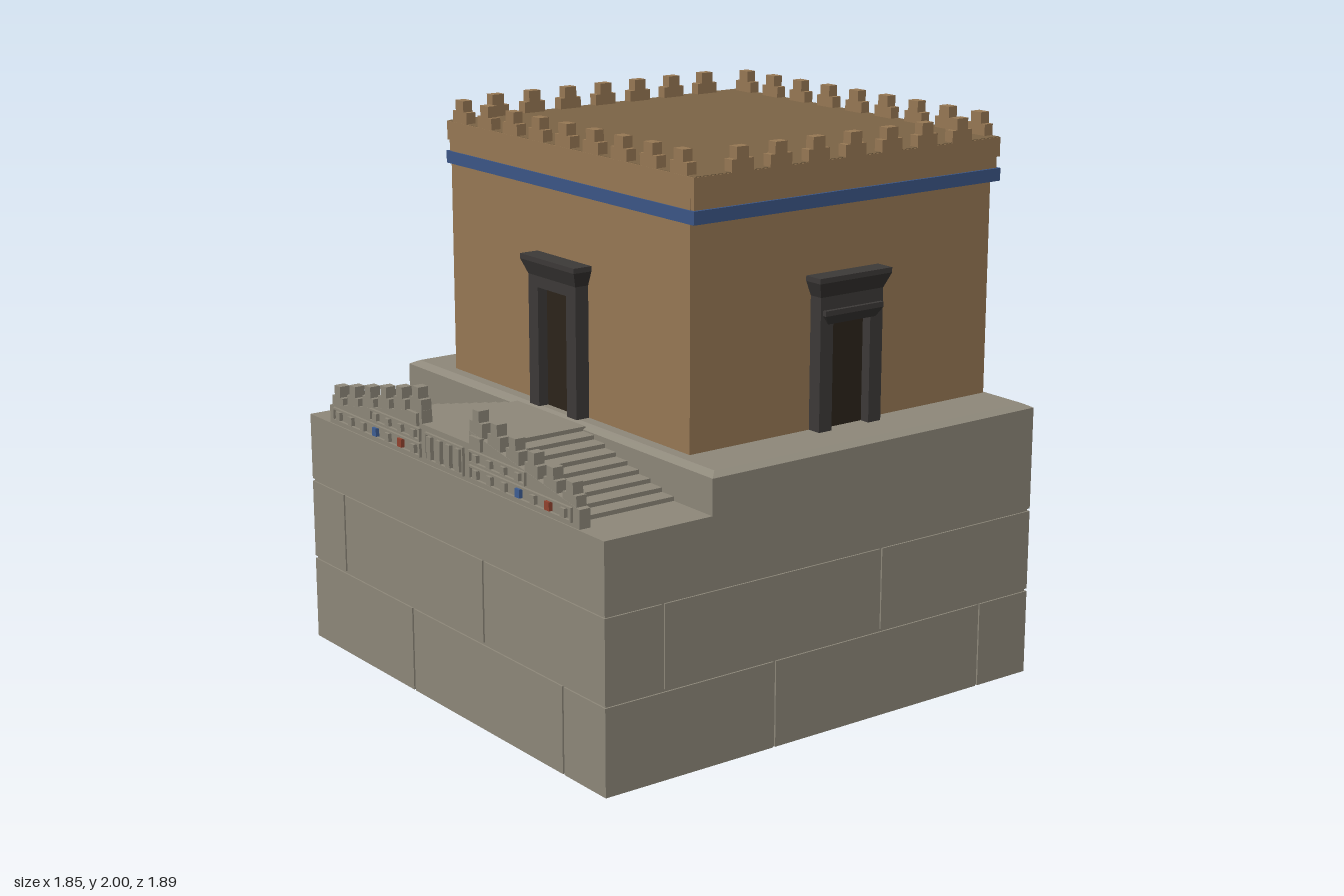
import * as THREE from 'three';

const mat = (color) => new THREE.MeshStandardMaterial({ color });
const STONE = mat(0x8f897b), BRICK = mat(0x987955), ROOF = mat(0x7d6546), BAND = mat(0x3c5788);
const DARK = mat(0x3d3a38), DOOR = mat(0x2c241b), RED = mat(0x94432f), BLUE = mat(0x3f5f95);

function add(parent, name, geometry, material, x = 0, y = 0, z = 0) {
  const mesh = new THREE.Mesh(geometry, material);
  mesh.name = name;
  mesh.position.set(x, y, z);
  parent.add(mesh);
  return mesh;
}

// Box given by its limits on each axis
function block(parent, name, material, x0, x1, y0, y1, z0, z1) {
  return add(parent, name, new THREE.BoxGeometry(x1 - x0, y1 - y0, z1 - z0), material,
    (x0 + x1) / 2, (y0 + y1) / 2, (z0 + z1) / 2);
}

function group(parent, name, x = 0, y = 0, z = 0, turn = 0) {
  const g = new THREE.Group();
  g.name = name;
  g.position.set(x, y, z);
  g.rotation.y = turn;
  parent.add(g);
  return g;
}

// Outline in x and y, extruded from z0 to z1
function slab(parent, name, material, points, z0, z1, hole) {
  const shape = new THREE.Shape(points.map(([x, y]) => new THREE.Vector2(x, y)));
  if (hole) shape.holes.push(new THREE.Path(hole.map(([x, y]) => new THREE.Vector2(x, y))));
  const geo = new THREE.ExtrudeGeometry(shape, { depth: z1 - z0, bevelEnabled: false });
  return add(parent, name, geo, material, 0, 0, z0);
}

const rect = (x0, x1, y0, y1) => [[x0, y0], [x1, y0], [x1, y1], [x0, y1]];

// Box whose bottom and top rectangles [x0, x1, z0, z1] differ
function taper(parent, name, material, bottom, top, y0, y1) {
  const geo = new THREE.BoxGeometry(1, 1, 1), p = geo.attributes.position;
  for (let i = 0; i < p.count; i++) {
    const up = p.getY(i) > 0, r = up ? top : bottom;
    p.setXYZ(i, p.getX(i) > 0 ? r[1] : r[0], up ? y1 : y0, p.getZ(i) > 0 ? r[3] : r[2]);
  }
  geo.computeVertexNormals();
  return add(parent, name, geo, material);
}

// Two-step battlement tooth, standing on its origin
function merlon(parent, x, y, z, wide, narrow, height, depth, turn = 0) {
  const g = group(parent, 'merlon', x, y, z, turn);
  block(g, 'merlonBase', parent.userData.material, -wide / 2, wide / 2, -0.03, height / 2, -depth / 2, depth / 2);
  block(g, 'merlonTop', parent.userData.material, -narrow / 2, narrow / 2, height / 2, height, -depth / 2, depth / 2);
}

// Flaring cornice with a flat fillet, its back on z = 0
function cornice(parent, half, topHalf, y0, y1, depth, topDepth) {
  const lip = y1 - 0.018;
  taper(parent, 'corniceFlare', DARK, [-half, half, 0, depth], [-topHalf, topHalf, 0, topDepth], y0, lip);
  block(parent, 'corniceFillet', DARK, -topHalf, topHalf, lip, y1, 0, topDepth);
}

// Door or window surround facing +z with its back on the wall
function portal(parent, name, o) {
  const g = group(parent, name, o.x, o.y, o.z, o.turn);
  const { half, open, openTop, neck } = o;
  slab(g, 'surround', DARK, [[-half, 0], [-open, 0], [-open, openTop], [open, openTop], [open, 0],
    [half, 0], [half, neck], [-half, neck]], -0.01, 0.053);
  block(g, 'doorLeaf', DOOR, -open, open, 0, openTop, -0.01, 0.015);
  cornice(g, half, o.topHalf, neck, o.top, 0.053, 0.073);
  return g;
}

function buildBase(parent) {
  const base = group(parent, 'podium', 0, 0, 0.01);
  const R = 0.925, C = 0.919, gap = 0.005;
  // Hollow bottom course and solid core behind the masonry joints
  const ring = slab(base, 'bottomCourseShell', STONE, rect(-C, C, -C, C), 0, 0.315,
    rect(-C + 0.004, C - 0.004, -C + 0.004, C - 0.004));
  ring.rotation.x = -Math.PI / 2;
  block(base, 'podiumCore', STONE, -C, C, 0.312, 0.86, -C, C);
  // Facing stones, the same on all four sides
  const courses = [
    [0, 0.31 - gap, [-0.235, 0.69]],
    [0.31 + gap, 0.61 - gap, [-0.695, 0.225]],
    [0.61 + gap, 0.86, []],
  ];
  for (let k = 0; k < 4; k++) {
    const side = group(base, 'facing', 0, 0, 0, k * Math.PI / 2);
    for (const [y0, y1, joints] of courses) {
      const cuts = [-R - gap, ...joints, R + gap];
      for (let i = 0; i + 1 < cuts.length; i++)
        block(side, 'facingStone', STONE, cuts[i] + gap, cuts[i + 1] - gap, y0, y1, C - 0.002, R);
    }
  }
  block(base, 'podiumTop', STONE, -R, R, 0.855, 0.86, -R, R);
  // Raised terrace with a bevelled rim
  block(parent, 'terrace', STONE, -R, R, 0.86, 0.985, -0.915, 0.51);
  taper(parent, 'terraceRim', STONE, [-R, R, -0.915, 0.51], [-0.895, 0.895, -0.885, 0.48], 0.985, 1);
}

function buildStairs(parent) {
  // Twin flights rising to a middle landing
  const right = [], n = 9;
  for (let i = 0; i < n; i++) {
    const x = 0.72 - i * 0.064, y = 0.86 + i * 0.015;
    right.push([x, y], [x, y + 0.015]);
  }
  const left = right.map(([x, y]) => [-x, y]).reverse();
  slab(parent, 'stairs', STONE, [...right, ...left], 0.5, 0.9);
  block(parent, 'landingFront', STONE, -0.16, 0.16, 0.86, 0.995, 0.89, 0.93);

  // Framed relief row with small figures
  const relief = (x0, x1, y0, y1, count, coloured) => {
    const g = group(parent, 'reliefPanel'), t = 0.007;
    slab(g, 'reliefFrame', STONE, rect(x0, x1, y0, y1), 0.929, 0.94, rect(x0 + t, x1 - t, y0 + t, y1 - t));
    const pitch = (x1 - x0) / count;
    for (let i = 0; i < count; i++) {
      const x = x0 + pitch * (i + 0.5);
      const m = coloured && i === 3 ? BLUE : coloured && i === 5 ? RED : STONE;
      block(g, 'reliefFigure', m, x - 0.013, x + 0.013, y0 + 0.01, y1 - 0.01, 0.929, 0.944);
    }
  };
  relief(-0.12, 0.12, 0.875, 0.975, 4);
  relief(0.155, 0.75, 0.875, 0.925, 7, true);
  relief(-0.75, -0.155, 0.875, 0.925, 7, true);

  // Sloping parapets with stepped teeth
  for (const s of [1, -1]) {
    const parapet = group(parent, 'parapet');
    parapet.userData.material = STONE;
    const outline = [[0.15, 0.86], [0.785, 0.86], [0.785, 0.925], [0.15, 1.04]].map(([x, y]) => [s * x, y]);
    slab(parapet, 'parapetWall', STONE, outline, 0.888, 0.93);
    for (let k = 0; k < 6; k++)
      merlon(parapet, s * (0.19 + 0.108 * k), 1.038 - 0.0225 * k, 0.909, 0.075, 0.038, 0.08, 0.04);
    relief(Math.min(s * 0.155, s * 0.49), Math.max(s * 0.155, s * 0.49), 0.932, 0.978, 4);
    block(parapet, 'parapetEndBlock', STONE, s * 0.2 - 0.033, s * 0.2 + 0.033, 0.985, 1.03, 0.925, 0.942);
  }
}

function buildHall(parent) {
  const hall = group(parent, 'hall');
  block(hall, 'walls', BRICK, -0.71, 0.71, 0.995, 1.85, -0.877, 0.438);
  block(hall, 'blueBand', BAND, -0.735, 0.735, 1.765, 1.81, -0.9, 0.443);
  block(hall, 'upperWall', BRICK, -0.725, 0.725, 1.81, 1.85, -0.89, 0.435);
  block(hall, 'roofEdge', BRICK, -0.732, 0.732, 1.85, 1.918, -0.898, 0.44);
  block(hall, 'roof', ROOF, -0.728, 0.728, 1.9, 1.92, -0.894, 0.436);

  // Battlements along all four roof edges
  const teeth = group(hall, 'battlements');
  teeth.userData.material = BRICK;
  for (let i = -4; i <= 4; i++)
    for (const z of [0.42, -0.878]) merlon(teeth, i * 0.162, 1.92, z, 0.09, 0.05, 0.08, 0.038);
  for (let i = -3; i <= 3; i++)
    for (const x of [0.713, -0.713])
      merlon(teeth, x, 1.92, -0.237 + i * 0.16, 0.09, 0.05, 0.08, 0.038, Math.PI / 2);

  // Front door, side doors with an inner cornice, and back windows
  portal(hall, 'frontDoor', { x: 0, y: 1, z: 0.438, turn: 0,
    half: 0.142, open: 0.085, openTop: 0.425, neck: 0.465, topHalf: 0.162, top: 0.535 });
  for (const s of [1, -1]) {
    const door = portal(hall, 'sideDoor', { x: s * 0.71, y: 1, z: -0.205, turn: s * Math.PI / 2,
      half: 0.137, open: 0.082, openTop: 0.4, neck: 0.465, topHalf: 0.158, top: 0.535 });
    cornice(door, 0.105, 0.127, 0.37, 0.42, 0.053, 0.068);
    portal(hall, 'backWindow', { x: s * 0.314, y: 1.1, z: -0.877, turn: Math.PI,
      half: 0.107, open: 0.055, openTop: 0.21, neck: 0.27, topHalf: 0.127, top: 0.32 });
  }
}

export function createModel() {
  const model = new THREE.Group();
  model.name = 'terracedHall';
  buildBase(model);
  buildStairs(model);
  buildHall(model);
  return model;
}
